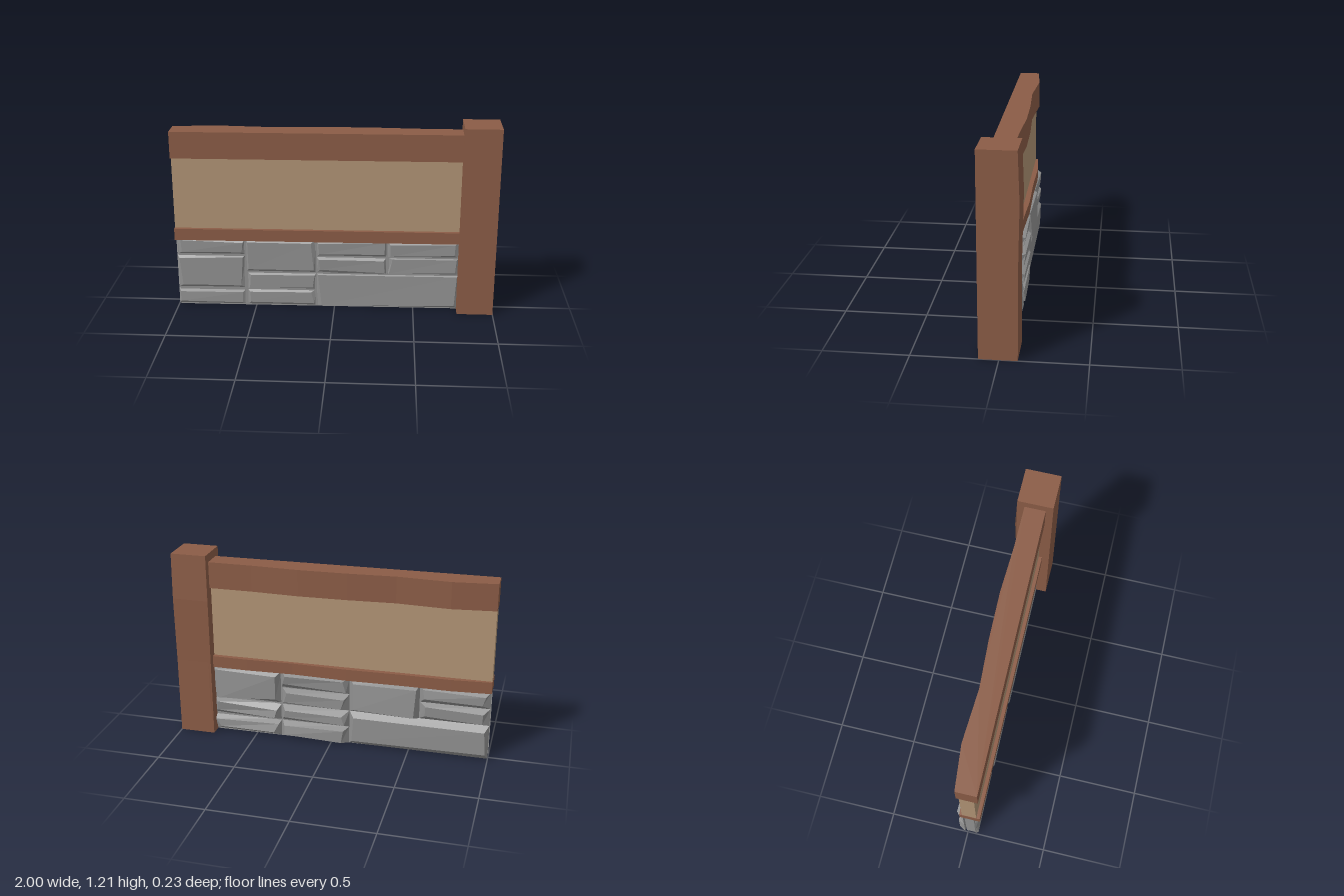
import * as THREE from 'three';

const flat = (name, color) => {
  const m = new THREE.MeshStandardMaterial({ color, flatShading: true });
  m.name = name;
  return m;
};

// Seeded jitter in 0..1
let seed = 7;
const rand = () => (seed = (seed * 16807) % 2147483647) / 2147483647;

// The wall front runs at a slight slant along x
const frontZ = (x) => 0.079 - 0.0113 * x;

export function createModel() {
  seed = 7;
  const wood = flat('wood', 0x8b5c46);
  const plaster = flat('plaster', 0xb19475);
  const stone = flat('stone', 0x929292);
  const group = new THREE.Group();

  const add = (name, geometry, material, parent = group) => {
    const mesh = new THREE.Mesh(geometry, material);
    mesh.name = name;
    parent.add(mesh);
    return mesh;
  };

  // Upright slab from a plan outline of [x, z] points
  const slab = (plan, y0, y1) => {
    const shape = new THREE.Shape(plan.map(([x, z]) => new THREE.Vector2(x, -z)));
    const g = new THREE.ExtrudeGeometry(shape, { depth: y1 - y0, bevelEnabled: false });
    return g.rotateX(-Math.PI / 2).translate(0, y0, 0);
  };

  // Beams with a straight front and a hand-hewn back
  const beam = (back, y0, y1) =>
    slab([[-1, frontZ(-1)], [0.79, frontZ(0.79)], ...back], y0, y1);
  add('topBeam', beam([[0.79, -0.06], [0.5, -0.06], [0.2, -0.072], [-0.1, -0.065],
    [-0.4, -0.047], [-0.73, -0.065], [-1, -0.036]], 0.99, 1.158), wood);
  add('middleBeam', beam([[0.79, -0.062], [0.55, -0.064], [0.25, -0.052], [-0.1, -0.062],
    [-0.45, -0.053], [-0.75, -0.055], [-1, -0.036]], 0.455, 0.53), wood);

  // Plaster panel between the beams
  add('plasterPanel', slab([[-0.998, frontZ(-1) - 0.022], [0.79, frontZ(0.79) - 0.022],
    [0.79, -0.035], [-0.998, -0.02]], 0.5, 1.02), plaster);

  // Corner post, side profile as [z, y] extruded along x
  const profile = [[0.116, 0], [0.116, 1.21], [-0.105, 1.21], [-0.115, 0.92],
    [-0.106, 0.5], [-0.107, 0.25], [-0.105, 0]];
  const postShape = new THREE.Shape(profile.map(([z, y]) => new THREE.Vector2(-z, y)));
  const post = new THREE.ExtrudeGeometry(postShape, { depth: 0.225, bevelEnabled: false });
  post.rotateY(Math.PI / 2).translate(0.775, 0, 0);
  const pp = post.attributes.position;
  for (let i = 0; i < pp.count; i++) {
    const y = pp.getY(i);
    // Slight waist on the inner back edge
    if (pp.getX(i) < 0.8 && pp.getZ(i) < 0 && y > 0.2 && y < 0.6) pp.setX(i, 0.79);
  }
  post.computeVertexNormals();
  add('cornerPost', post, wood);

  // Stone footing
  const footing = new THREE.Group();
  footing.name = 'stoneFooting';
  group.add(footing);
  add('footingCore', slab([[-0.99, frontZ(-1) - 0.034], [0.79, frontZ(0.79) - 0.034],
    [0.79, -0.03], [-0.99, -0.01]], 0, 0.47), stone, footing);

  // One dressed stone: a box whose outer face is drawn in unevenly
  const brick = (name, x0, x1, y0, y1, side, height, insetX, insetY) => {
    const g = new THREE.BoxGeometry(1, 1, 1).toNonIndexed();
    const p = g.attributes.position;
    const corners = [0, 1, 2, 3].map(() => [rand(), rand(), rand()]);
    for (let i = 0; i < p.count; i++) {
      const sx = Math.sign(p.getX(i)), sy = Math.sign(p.getY(i));
      const outer = p.getZ(i) * side > 0;
      const [a, b, c] = corners[(sx > 0 ? 1 : 0) + (sy > 0 ? 2 : 0)];
      let x = sx > 0 ? x1 : x0, y = sy > 0 ? y1 : y0;
      if (outer) {
        x -= sx * insetX * (0.4 + a);
        y -= sy * insetY * (0.4 + b);
      }
      const base = side > 0 ? frontZ(x) - 0.04 : -0.018;
      p.setXYZ(i, x, y, base + (outer ? side * height * (0.7 + 0.3 * c) : 0));
    }
    g.computeVertexNormals();
    add(name, g, stone, footing);
  };

  // Column edges and course heights
  const X = [-0.998, -0.56, -0.115, 0.33, 0.785];
  const Y = [0, 0.115, 0.23, 0.345, 0.46];

  // Each stone: first column, end column, first course, end course
  const backStones = [
    [0, 2, 0, 2], [0, 1, 2, 3], [0, 1, 3, 4], [1, 2, 2, 4],
    [2, 3, 0, 1], [2, 3, 1, 2], [2, 3, 2, 3], [2, 3, 3, 4],
    [3, 4, 0, 1], [3, 4, 1, 2], [3, 4, 2, 4],
  ];
  for (const [a, b, c, d] of backStones) {
    brick('backStone', X[a], X[b], Y[c], Y[d], -1, a === 0 ? 0.046 : 0.06, 0.035, 0.03);
  }
  const frontStones = [
    [0, 1, 0, 1], [0, 1, 1, 3], [0, 1, 3, 4], [1, 2, 0, 1], [1, 2, 1, 2], [1, 2, 2, 4],
    [2, 4, 0, 2], [2, 3, 2, 3], [2, 3, 3, 4], [3, 4, 2, 3], [3, 4, 3, 4],
  ];
  for (const [a, b, c, d] of frontStones) {
    brick('frontStone', X[a], X[b], Y[c], Y[d], 1, 0.02, 0.025, 0.02);
  }
  return group;
}
